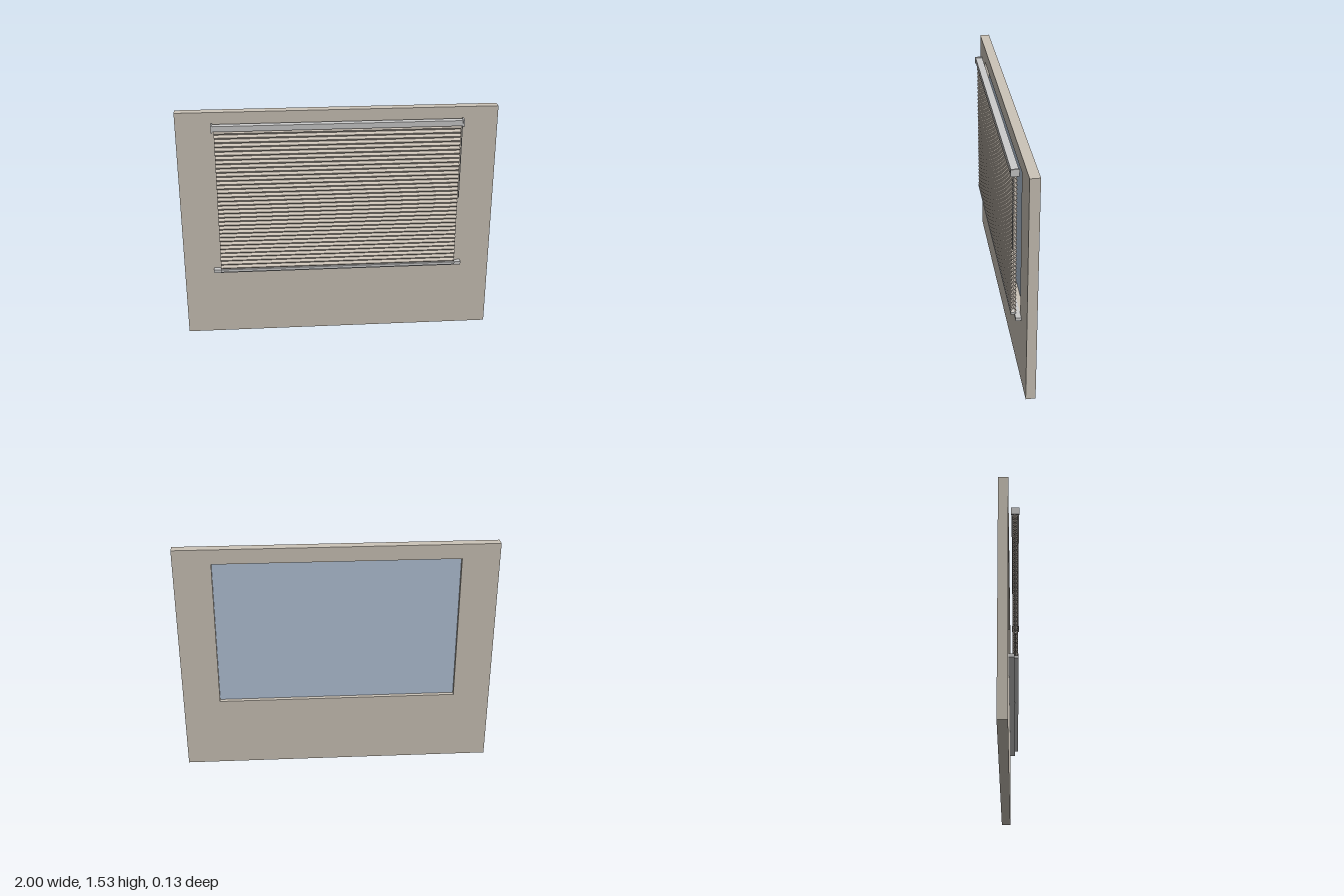
import * as THREE from 'three';

const mat = (color, extra = {}) => new THREE.MeshStandardMaterial({ color, ...extra });

export function createModel() {
  const model = new THREE.Group();
  const wallMat = mat(0xccc4b8);
  const railMat = mat(0xd8d8d4);
  const fabricMat = mat(0xd2c8bc, { side: THREE.DoubleSide, flatShading: true });
  const glassMat = mat(0xb4c4d8);
  const wandMat = mat(0xcccccc);

  const add = (name, geometry, material, x = 0, y = 0, z = 0) => {
    const mesh = new THREE.Mesh(geometry, material);
    mesh.name = name;
    mesh.position.set(x, y, z);
    model.add(mesh);
    return mesh;
  };
  // Box given by its extents, symmetric in x unless a centre is given
  const box = (name, material, w, y0, y1, z0, z1, x = 0) =>
    add(name, new THREE.BoxGeometry(w, y1 - y0, z1 - z0), material, x, (y0 + y1) / 2, (z0 + z1) / 2);
  const rect = (path, x0, y0, x1, y1) =>
    path.moveTo(x0, y0).lineTo(x1, y0).lineTo(x1, y1).lineTo(x0, y1).closePath();

  // Wall with window opening
  const shape = new THREE.Shape();
  rect(shape, -1, 0, 1, 1.53);
  const hole = new THREE.Path();
  rect(hole, -0.765, 0.47, 0.765, 1.435);
  shape.holes.push(hole);
  add('wall', new THREE.ExtrudeGeometry(shape, { depth: 0.06, bevelEnabled: false }), wallMat, 0, 0, -0.06);

  // Glass and sill
  box('glass', glassMat, 1.53, 0.47, 1.435, -0.034, -0.028);
  box('sill', railMat, 1.62, 0.45, 0.472, 0, 0.034);

  // Head rail with end caps, bottom rail
  box('headRail', railMat, 1.55, 1.425, 1.46, 0.018, 0.062);
  for (const s of [-1, 1]) box('headRailCap', railMat, 0.01, 1.42, 1.465, 0.015, 0.066, s * 0.775);
  box('bottomRail', railMat, 1.53, 0.465, 0.482, 0.025, 0.056);

  // Honeycomb shade: two mirrored pleated sheets, joined between the cells
  const cells = 34, bottom = 0.48, top = 1.425, middle = 0.039;
  const pleatedSheet = (name, sign) => {
    const geometry = new THREE.PlaneGeometry(1.526, top - bottom, 1, cells * 4);
    const p = geometry.attributes.position;
    const depth = [0.001, 0.011, 0.016, 0.011];
    for (let i = 0; i < p.count; i++) {
      const row = Math.floor(i / 2);
      p.setZ(i, sign * depth[row % 4]);
    }
    geometry.computeVertexNormals();
    add(name, geometry, fabricMat, 0, (top + bottom) / 2, middle);
  };
  pleatedSheet('frontPleats', 1);
  pleatedSheet('backPleats', -1);

  // Control wand hanging from the head rail
  add('wand', new THREE.CylinderGeometry(0.003, 0.003, 0.49, 8), wandMat, 0.769, 1.185, 0.05);

  return model;
}
